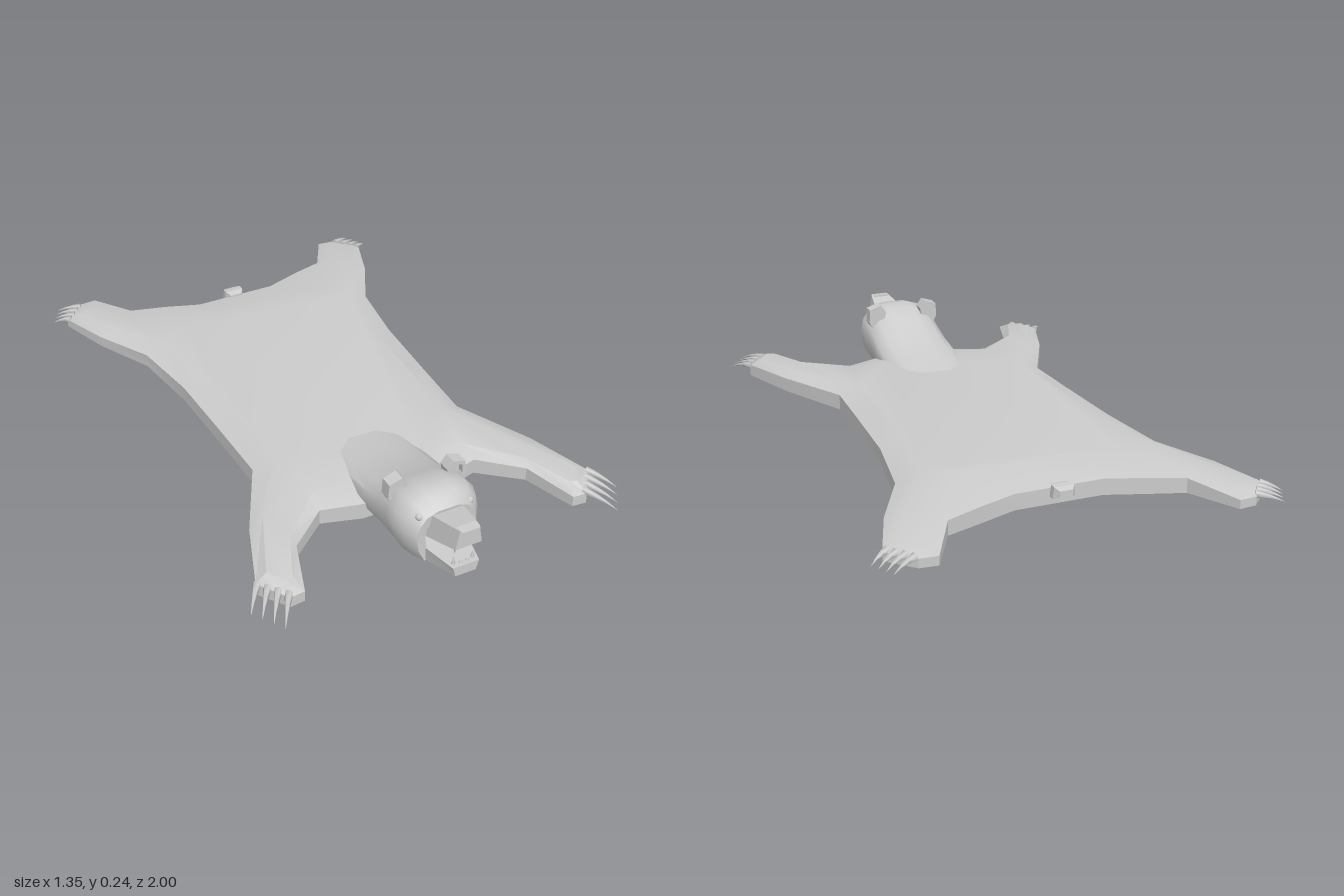
import * as THREE from 'three';
import { toCreasedNormals } from 'three/addons/utils/BufferGeometryUtils.js';

const grey = new THREE.MeshStandardMaterial({ color: 0xcccccc });
const V = (x, y, z) => new THREE.Vector3(x, y, z);

function addMesh(parent, name, geometry) {
  const mesh = new THREE.Mesh(geometry, grey);
  mesh.name = name;
  parent.add(mesh);
  return mesh;
}

function fromTriangles(points, crease = 0.6) {
  const g = new THREE.BufferGeometry().setFromPoints(points);
  g.computeVertexNormals();
  return toCreasedNormals(g, crease);
}

// Skin closed rings (counter-clockwise seen from +z, running towards +z), both ends capped
function loft(rings, crease) {
  const t = [], n = rings[0].length;
  for (let r = 0; r + 1 < rings.length; r++) {
    for (let i = 0; i < n; i++) {
      const j = (i + 1) % n, A = rings[r], B = rings[r + 1];
      t.push(A[i], A[j], B[j], A[i], B[j], B[i]);
    }
  }
  const a = rings[0], b = rings[rings.length - 1];
  for (let i = 1; i + 1 < n; i++) t.push(a[0], a[i + 1], a[i], b[0], b[i], b[i + 1]);
  return fromTriangles(t, crease);
}

// Half outline of the pelt: edge x, z, y, then the inset crease x, z, y
const HALF = [
  [0.15, -0.725, 0.055, 0.13, -0.57, 0.085],
  [0.28, -0.77, 0.055, 0.28, -0.57, 0.084],
  [0.40, -0.81, 0.05, 0.43, -0.78, 0.058],
  [0.49, -0.975, 0.03, 0.50, -0.91, 0.046],
  [0.55, -0.97, 0.03, 0.54, -0.92, 0.046],
  [0.63, -0.89, 0.03, 0.58, -0.87, 0.046],
  [0.56, -0.70, 0.04, 0.50, -0.70, 0.06],
  [0.455, -0.50, 0.048, 0.38, -0.50, 0.083],
  [0.415, -0.24, 0.055, 0.34, -0.24, 0.085],
  [0.40, 0.05, 0.055, 0.33, 0.05, 0.085],
  [0.39, 0.29, 0.055, 0.32, 0.30, 0.084],
  [0.52, 0.55, 0.05, 0.46, 0.52, 0.072],
  [0.60, 0.77, 0.042, 0.56, 0.76, 0.064],
  [0.53, 0.865, 0.038, 0.52, 0.82, 0.062],
  [0.48, 0.86, 0.038, 0.495, 0.81, 0.062],
  [0.42, 0.68, 0.048, 0.43, 0.65, 0.07],
  [0.285, 0.57, 0.055, 0.27, 0.50, 0.081],
  [0.15, 0.61, 0.06, 0.13, 0.50, 0.086],
];

function peltGeometry() {
  const n = HALF.length, count = 2 * n, t = [];
  const full = [...HALF, ...HALF.map(p => [-p[0], p[1], p[2], -p[3], p[4], p[5]]).reverse()];
  const base = full.map(p => V(p[0], 0, p[1]));
  const edge = full.map(p => V(p[0], p[2], p[1]));
  const inset = full.map(p => V(p[3], p[5], p[4]));
  // side walls and sloped borders
  for (const [lo, hi] of [[base, edge], [edge, inset]]) {
    for (let i = 0; i < count; i++) {
      const j = (i + 1) % count;
      t.push(lo[i], hi[i], hi[j], lo[i], hi[j], lo[j]);
    }
  }
  // flat areas, facing up or down
  const cap = (pts, up) => {
    const flat = pts.map(p => new THREE.Vector2(p.x, p.z));
    for (const [a, b, c] of THREE.ShapeUtils.triangulateShape(flat, [])) {
      const normalY = V().subVectors(pts[b], pts[a]).cross(V().subVectors(pts[c], pts[a])).y;
      if (normalY > 0 === up) t.push(pts[a], pts[b], pts[c]);
      else t.push(pts[a], pts[c], pts[b]);
    }
  };
  cap(base, false);
  for (const [from, to] of [[1, 7], [10, 16]]) {
    cap(inset.slice(from, to + 1), true);
    cap(inset.slice(count - 1 - to, count - from), true);
  }
  const torso = [0, 1, 7, 8, 9, 10, 16, 17];
  cap([...torso, ...torso.map(i => count - 1 - i).reverse()].map(i => inset[i]), true);
  return fromTriangles(t, 0.5);
}

// Rounded head section: half width, top height, z
function headRing(w, h, z, scale = 1, lift = 0) {
  const half = [[0.72, 0], [0.93, 0.25], [1, 0.52], [0.93, 0.74], [0.7, 0.92], [0.33, 1]];
  const right = half.map(([x, y]) => V(x * w * scale, y * h * scale + lift, z));
  return [...right, ...right.map(p => V(-p.x, p.y, p.z)).reverse()];
}

// Four-cornered section: bottom and top half widths, bottom and top heights
const quad = (wb, wt, y0, y1, z) => [V(wb, y0, z), V(wt, y1, z), V(-wt, y1, z), V(-wb, y0, z)];

// Claw from base to tip, arched along its length
function clawGeometry(base, tip, radius) {
  const length = Math.hypot(tip.x - base.x, tip.z - base.z);
  const g = new THREE.ConeGeometry(radius, length, 5, 3).translate(0, length / 2, 0).rotateX(Math.PI / 2);
  const p = g.attributes.position;
  for (let i = 0; i < p.count; i++) {
    const s = p.getZ(i) / length;
    p.setY(i, p.getY(i) + base.y + (tip.y - base.y) * s * s);
  }
  g.rotateY(Math.atan2(tip.x - base.x, tip.z - base.z)).translate(base.x, 0, base.z);
  g.computeVertexNormals();
  return g;
}

function addClaws(parent, name, side, baseA, baseB, tipA, tipB) {
  const mirror = v => V(v.x * side, v.y, v.z);
  for (let i = 0; i < 4; i++) {
    const base = baseA.clone().lerp(baseB, (i + 0.5) / 4), tip = tipA.clone().lerp(tipB, i / 3);
    addMesh(parent, name, clawGeometry(mirror(base), mirror(tip), 0.014));
  }
}

function addEar(parent, side) {
  const outline = [[0.125, 0.15], [0.138, 0.175], [0.135, 0.225], [0.09, 0.24], [0.07, 0.212], [0.078, 0.175]];
  const toShape = k => new THREE.Shape(outline.map(([x, y]) =>
    new THREE.Vector2(side * (0.105 + (x - 0.105) * k), 0.2 + (y - 0.2) * k)));
  const rim = toShape(1);
  rim.holes.push(toShape(0.65));
  const extrude = (shape, depth, z) =>
    new THREE.ExtrudeGeometry(shape, { depth, bevelEnabled: false }).translate(0, 0, z);
  addMesh(parent, 'earBack', extrude(toShape(1), 0.022, 0.7));
  addMesh(parent, 'earRim', extrude(rim, 0.02, 0.722));
}

export function createModel() {
  const model = new THREE.Group();
  model.name = 'bearskinRug';
  addMesh(model, 'pelt', peltGeometry());

  // neck rising into the skull, ending in a recessed mouth
  const head = new THREE.Group();
  head.name = 'head';
  model.add(head);
  addMesh(head, 'neckAndSkull', loft([
    headRing(0.15, 0.08, 0.28), headRing(0.15, 0.105, 0.45), headRing(0.148, 0.145, 0.6),
    headRing(0.144, 0.185, 0.68), headRing(0.146, 0.212, 0.74), headRing(0.147, 0.218, 0.79),
    headRing(0.132, 0.212, 0.83), headRing(0.105, 0.182, 0.868),
    headRing(0.105, 0.182, 0.866, 0.72, 0.025), headRing(0.1, 0.18, 0.8, 0.65, 0.03),
  ], 0.75));

  // upper jaw tilted open, with a wedge nose
  addMesh(head, 'snout', loft([
    quad(0.075, 0.06, 0.09, 0.165, 0.82), quad(0.07, 0.055, 0.095, 0.172, 0.868), quad(0.046, 0.034, 0.128, 0.197, 0.99),
  ], 0.3));
  addMesh(head, 'nose', loft([
    [V(0, 0.162, 0.97), V(0.034, 0.199, 0.97), V(-0.034, 0.199, 0.97)],
    [V(0, 0.166, 1), V(0.03, 0.197, 1), V(-0.03, 0.197, 1)],
  ], 0.3));
  addMesh(head, 'lowerJaw', loft([
    quad(0.075, 0.078, 0, 0.055, 0.82), quad(0.07, 0.072, 0.002, 0.05, 0.87), quad(0.036, 0.046, 0.015, 0.05, 0.985),
  ], 0.3));

  for (const side of [1, -1]) {
    addEar(head, side);
    const eye = addMesh(head, 'eye', new THREE.SphereGeometry(0.014, 8, 6));
    eye.position.set(side * 0.088, 0.165, 0.846);
    // fangs and small teeth
    for (const [x, y, z, h, up] of [
      [0.034, 0.115, 0.97, 0.04, -1], [0.013, 0.12, 0.975, 0.02, -1],
      [0.034, 0.06, 0.965, 0.036, 1], [0.012, 0.055, 0.972, 0.016, 1],
    ]) {
      const tooth = addMesh(head, 'tooth', new THREE.ConeGeometry(0.009, h, 5));
      tooth.position.set(side * x, y, z);
      if (up < 0) tooth.rotation.x = Math.PI;
    }
    addClaws(model, 'frontClaw', side, V(0.605, 0.04, 0.755), V(0.515, 0.04, 0.86),
      V(0.657, 0.012, 0.86), V(0.59, 0.012, 0.955));
    addClaws(model, 'rearClaw', side, V(0.545, 0.03, -0.965), V(0.625, 0.03, -0.875),
      V(0.635, 0.01, -1), V(0.675, 0.01, -0.925));
  }

  // stub tail
  addMesh(model, 'tail', loft([
    quad(0.022, 0.022, 0.04, 0.062, -0.775), quad(0.038, 0.034, 0.032, 0.07, -0.757),
    quad(0.038, 0.034, 0.032, 0.072, -0.735), quad(0.022, 0.022, 0.04, 0.064, -0.715),
  ], 0.3));
  return model;
}
